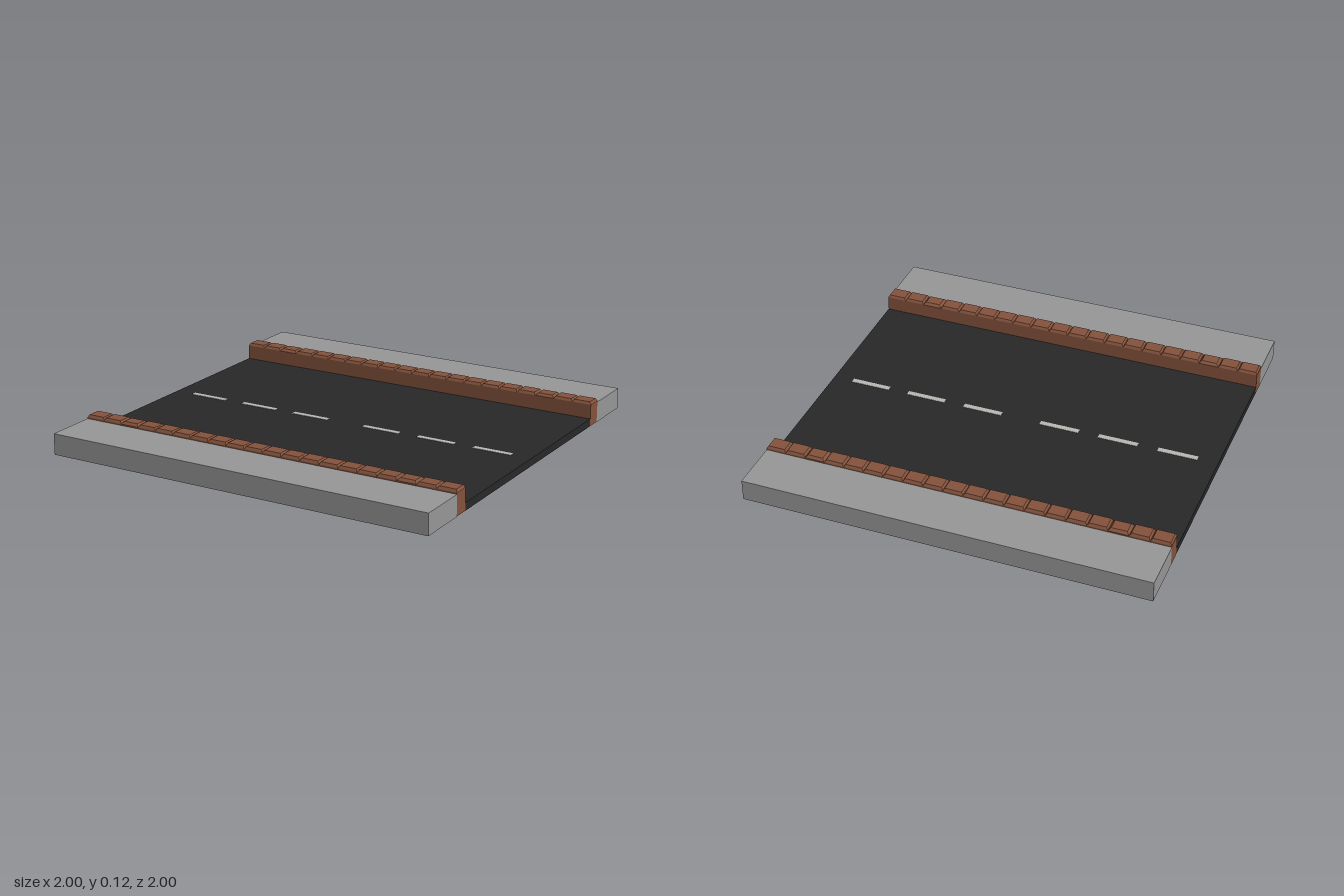
import * as THREE from 'three';

const mat = (color) => new THREE.MeshStandardMaterial({ color, flatShading: true });

export function createModel() {
  const root = new THREE.Group();
  root.name = 'roadSection';
  const concrete = mat(0x979797), asphalt = mat(0x282828), brick = mat(0x85533d), paint = mat(0xb8b8b4);

  // Box given by its minimum and maximum on each axis
  function slab(parent, name, material, [x0, x1], [y0, y1], [z0, z1]) {
    const mesh = new THREE.Mesh(new THREE.BoxGeometry(x1 - x0, y1 - y0, z1 - z0), material);
    mesh.position.set((x0 + x1) / 2, (y0 + y1) / 2, (z0 + z1) / 2);
    mesh.name = name;
    parent.add(mesh);
    return mesh;
  }

  // Box whose top face is drawn in on all sides, giving sloping edges
  function brickTop(w, h, d, inset) {
    const geo = new THREE.BoxGeometry(w, h, d);
    const p = geo.attributes.position;
    for (let i = 0; i < p.count; i++) {
      if (p.getY(i) < 0) continue;
      p.setX(i, p.getX(i) - Math.sign(p.getX(i)) * inset);
      p.setZ(i, p.getZ(i) - Math.sign(p.getZ(i)) * inset);
    }
    geo.computeVertexNormals();
    return geo;
  }

  const IN = 0.663, OUT = 0.743, CURB = 0.112, TOP = 0.125;

  // Road surface and centre line
  slab(root, 'roadSurface', asphalt, [-1, 1], [0.002, 0.04], [-IN, IN]);
  for (const x of [-0.8, -0.5, -0.2, 0.2, 0.5, 0.8])
    slab(root, 'laneDash', paint, [x - 0.1, x + 0.1], [0.04, 0.042], [-0.014, 0.014]);

  for (const side of [-1, 1]) {
    const zr = (a, b) => (side > 0 ? [a, b] : [-b, -a]);
    const half = new THREE.Group();
    half.name = side > 0 ? 'frontSide' : 'backSide';
    root.add(half);

    slab(half, 'sidewalk', concrete, [-1, 1], [0, 0.105], zr(OUT, 1));

    // Curb body, with a hollow pocket near each end
    for (const xr of [[-1, -0.9], [-0.81, 0.81], [0.9, 1]])
      slab(half, 'curbBody', brick, xr, [0.002, CURB], zr(IN, OUT));
    for (const xr of [[-0.9, -0.81], [0.81, 0.9]]) {
      slab(half, 'pocketWall', brick, xr, [0.038, CURB], zr(IN, IN + 0.004));
      slab(half, 'pocketLid', brick, xr, [0.104, CURB], zr(IN + 0.004, OUT));
    }

    // Row of bricks capping the curb
    for (let i = 0; i < 20; i++) {
      const inset = i === 2 || i === 17 ? 0.011 : 0.007;
      const cap = new THREE.Mesh(brickTop(0.098, TOP - CURB, OUT - IN, inset), brick);
      cap.position.set(-0.95 + i * 0.1, (CURB + TOP) / 2, side * (IN + OUT) / 2);
      cap.name = 'curbBrick';
      half.add(cap);
    }

    // Underside sheet with two openings and a gap along the middle
    const rect = (x0, x1, z0, z1, T) => {
      const s = new T();
      s.moveTo(x0, z0).lineTo(x1, z0).lineTo(x1, z1).lineTo(x0, z1).closePath();
      return s;
    };
    const [z0, z1] = zr(0.01, 1);
    const [h0, h1] = zr(IN, OUT);
    const sheet = rect(-1, 1, z0, z1, THREE.Shape);
    sheet.holes.push(rect(-0.9, -0.81, h0, h1, THREE.Path), rect(0.81, 0.9, h0, h1, THREE.Path));
    const under = new THREE.Mesh(new THREE.ShapeGeometry(sheet), concrete);
    under.rotation.x = Math.PI / 2; // shape y becomes z, facing down
    under.name = 'underside';
    half.add(under);
  }
  return root;
}
